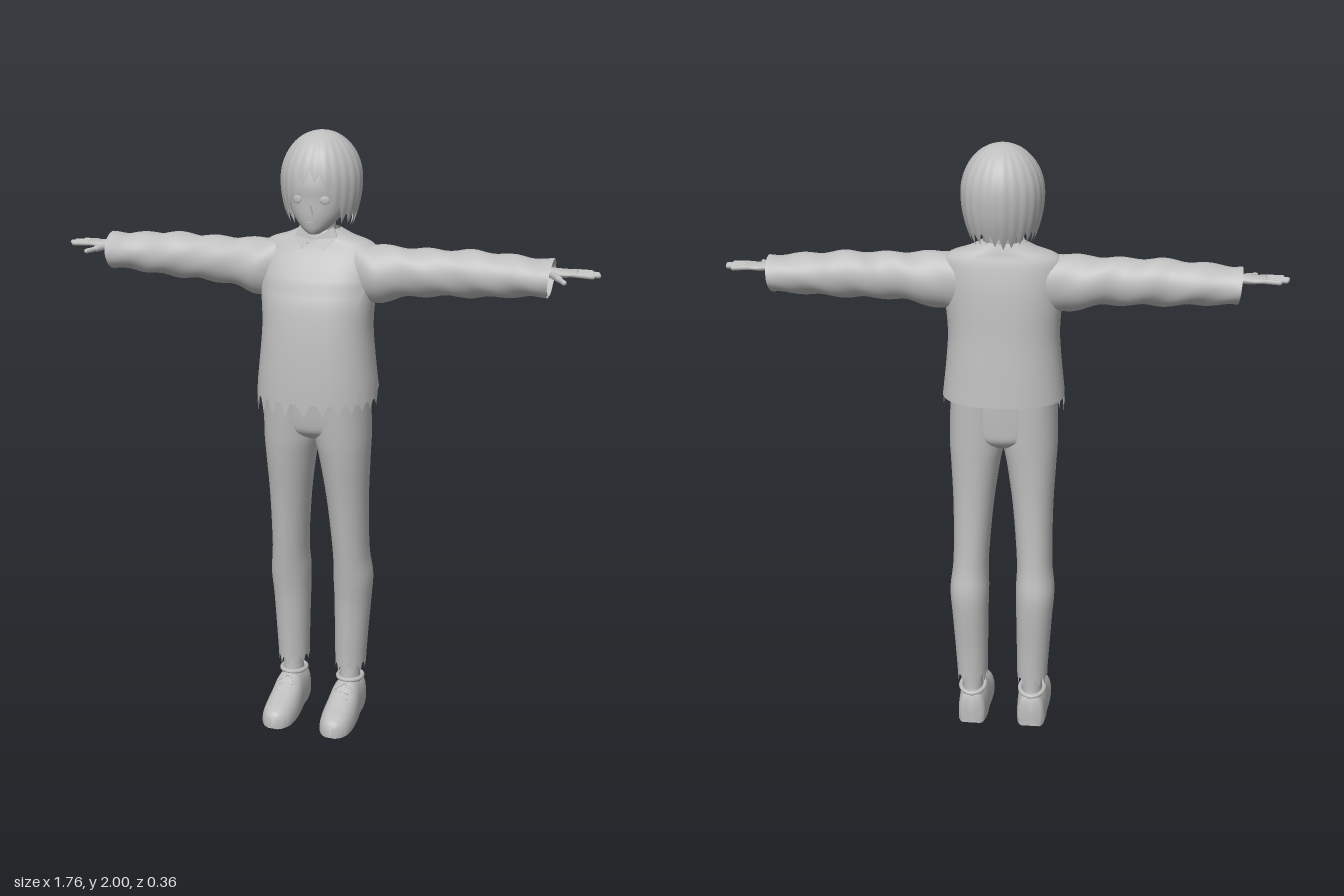
import * as THREE from 'three';
import { toCreasedNormals } from 'three/addons/utils/BufferGeometryUtils.js';

const grey = new THREE.MeshStandardMaterial({ color: 0xbebebe, side: THREE.DoubleSide });
grey.name = 'plain grey';

function part(name, geometry, parent) {
  const mesh = new THREE.Mesh(geometry, grey);
  mesh.name = name;
  parent.add(mesh);
  return mesh;
}

// Closed rings of points joined into a smooth skin
function skin(rings, segs, pointAt) {
  const pos = [], index = [];
  for (let i = 0; i < rings; i++) {
    for (let j = 0; j < segs; j++) {
      pos.push(...pointAt(i, j, (j / segs) * Math.PI * 2));
      if (i === rings - 1) continue;
      const a = i * segs + j, b = i * segs + (j + 1) % segs;
      index.push(a, a + segs, b, b, a + segs, b + segs);
    }
  }
  const g = new THREE.BufferGeometry();
  g.setAttribute('position', new THREE.Float32BufferAttribute(pos, 3));
  g.setIndex(index);
  g.computeVertexNormals();
  return g;
}

function smooth(rows, s) {
  const n = rows.length - 1, k = Math.min(Math.floor(s), n - 1), t = s - k;
  const at = i => rows[Math.min(Math.max(i, 0), n)];
  return rows[0].map((_, c) => {
    const p = at(k - 1)[c], q = at(k)[c], r = at(k + 1)[c], w = at(k + 2)[c];
    return q + 0.5 * t * (r - p + t * (2 * p - 5 * q + 4 * r - w + t * (3 * (q - r) + w - p)));
  });
}

// Place a cross-section point (distance t along the axis, a and b across it)
const axes = {
  x: (t, a, b) => [t, b, a],
  y: (t, a, b) => [a, t, b],
  z: (t, a, b) => [b, a, t],
};

// Rows are [t, aMin, aMax, bMin, bMax]; roundness below 1 squares the section
function loft(axis, rows, { segs = 32, steps = 4, power = 1, caps = false, warp } = {}) {
  const n = (rows.length - 1) * steps + 1, extra = caps ? 1 : 0;
  const round = v => Math.sign(v) * Math.abs(v) ** power;
  return skin(n + extra * 2, segs, (ring, j, th) => {
    const i = Math.min(Math.max(ring - extra, 0), n - 1);
    const [t, a0, a1, b0, b1] = smooth(rows, i / steps);
    const size = ring - extra === i ? 0.5 : 0;
    const p = axes[axis](t,
      (a0 + a1) / 2 + (a1 - a0) * size * round(Math.cos(th)),
      (b0 + b1) / 2 + (b1 - b0) * size * round(Math.sin(th)));
    if (warp) warp(p, i, j, th);
    return p;
  });
}

// Rounded rod between two points
function rod(name, from, to, r, parent) {
  const a = new THREE.Vector3(...from), b = new THREE.Vector3(...to);
  const dir = b.clone().sub(a), len = dir.length();
  const mesh = part(name, new THREE.CapsuleGeometry(r, len - r, 4, 10), parent);
  mesh.position.copy(a).add(b).multiplyScalar(0.5);
  mesh.quaternion.setFromUnitVectors(new THREE.Vector3(0, 1, 0), dir.normalize());
}

function buildHead(parent) {
  const head = new THREE.Group();
  head.name = 'head';
  parent.add(head);
  part('neck', loft('y', [[1.62, -0.055, 0.055, -0.1, 0.02], [1.68, -0.045, 0.045, -0.09, 0.005],
    [1.76, -0.045, 0.045, -0.09, 0.01]]), head);
  part('face', loft('y', [[1.692, -0.018, 0.018, 0.01, 0.06], [1.71, -0.045, 0.045, -0.03, 0.069],
    [1.75, -0.08, 0.08, -0.09, 0.076], [1.8, -0.1, 0.1, -0.13, 0.077], [1.85, -0.108, 0.108, -0.15, 0.078],
    [1.92, -0.095, 0.095, -0.135, 0.055], [1.96, -0.05, 0.05, -0.09, 0.015]], { caps: true }), head);
  const nose = part('nose', new THREE.ConeGeometry(0.011, 0.04, 8), head);
  nose.position.set(0, 1.775, 0.078);
  nose.rotation.x = 0.25;
  const mouth = part('mouth', new THREE.BoxGeometry(0.03, 0.003, 0.006), head);
  mouth.position.set(0, 1.732, 0.071);
  for (const s of [-1, 1]) {
    const ear = part('ear', new THREE.SphereGeometry(0.025, 12, 8), head);
    ear.scale.set(0.4, 1, 0.7);
    ear.position.set(s * 0.1, 1.79, -0.03);
    const eye = part('eye', new THREE.SphereGeometry(0.016, 12, 8), head);
    eye.scale.set(1, 0.8, 0.2);
    eye.position.set(s * 0.045, 1.8, 0.068);
    eye.rotation.y = s * 0.35;
    const brow = part('eyebrow', new THREE.BoxGeometry(0.036, 0.004, 0.006), head);
    brow.position.set(s * 0.045, 1.83, 0.069);
    brow.rotation.set(0, s * 0.35, -s * 0.12);
  }
  // Bowl of combed strands with a parted fringe and pointed tips
  const tips = [[-1, 1.715], [0, 1.725], [0.35, 1.73], [0.62, 1.745], [0.8, 1.79], [0.93, 1.83], [1, 1.865]];
  const rings = 26;
  part('hair', skin(rings, 144, (i, j, th) => {
    const f = Math.sin(th);
    const k = Math.max(1, tips.findIndex(p => p[0] >= f - 1e-6));
    const [p, q] = [tips[k - 1], tips[k]];
    const tooth = Math.abs((j % 6) - 3) / 3;
    const low = THREE.MathUtils.mapLinear(f, p[0], q[0], p[1], q[1]) +
      0.035 * (tooth - 0.4) + 0.008 * Math.sin(5 * th + 1);
    const v = Math.sin((i / (rings - 1)) * Math.PI / 2);
    const y = low + (2 - low) * v;
    const h = y - 1.85;
    let r = h > 0 ? Math.sqrt(Math.max(0, 1 - (h / 0.15) ** 2)) : 1 - 0.2 * (h / 0.13) ** 2;
    r *= 1 + 0.018 * (0.5 - tooth) + 0.008 * Math.sin(7 * th);
    return [0.128 * r * Math.cos(th), y, -0.045 + 0.134 * r * f];
  }), head);
}

function buildTop(parent) {
  // Loose jumper body with a ragged front hem and a chest crease
  part('jumperBody', loft('y', [[1.19, -0.197, 0.197, -0.16, 0.153], [1.3, -0.185, 0.185, -0.15, 0.147],
    [1.4, -0.178, 0.178, -0.14, 0.136], [1.5, -0.185, 0.185, -0.132, 0.115], [1.57, -0.192, 0.192, -0.123, 0.083],
    [1.63, -0.19, 0.19, -0.11, 0.047], [1.66, -0.165, 0.165, -0.1, 0.033], [1.678, -0.11, 0.11, -0.095, 0.028],
    [1.7, -0.062, 0.062, -0.088, 0.022]], {
    segs: 72, power: 0.85, warp(p, i, j, th) {
      const f = Math.sin(th);
      if (i === 0 && f > -0.05) p[1] = j % 3 === 0 ? 1.125 + 0.015 * Math.cos(j * 2) : 1.165;
      if (f > 0.5) p[2] -= 0.006 * Math.exp(-(((p[1] - 1.512) / 0.012) ** 2));
    },
  }), parent);
  // Pointed shirt collar
  const flap = new THREE.Shape([[0.004, 1.675], [0.035, 1.645], [0.07, 1.678], [0.055, 1.71]]
    .map(p => new THREE.Vector2(...p)));
  for (const s of [-1, 1]) {
    const g = new THREE.ExtrudeGeometry(flap, { depth: 0.006, bevelEnabled: false });
    const pos = g.attributes.position;
    for (let i = 0; i < pos.count; i++) {
      const x = pos.getX(i), y = pos.getY(i);
      pos.setZ(i, pos.getZ(i) + 0.045 + (1.68 - y) * 0.55 - x * x * 7);
    }
    g.computeVertexNormals();
    part('collarFlap', g, parent).scale.x = s;
  }
}

function buildArm(parent, s) {
  const arm = new THREE.Group();
  arm.name = s > 0 ? 'leftArm' : 'rightArm';
  arm.scale.x = s;
  parent.add(arm);
  part('sleeve', loft('x', [[0.13, -0.095, 0.05, 1.47, 1.663], [0.2, -0.103, 0.062, 1.475, 1.655],
    [0.28, -0.098, 0.05, 1.495, 1.652], [0.38, -0.1, 0.038, 1.505, 1.65], [0.5, -0.11, 0.032, 1.508, 1.652],
    [0.62, -0.12, 0.03, 1.517, 1.643], [0.73, -0.127, 0.024, 1.522, 1.637]], {
    steps: 6, warp(p, i, j, th) {
      p[1] += 0.004 * Math.sin(p[0] * 48 + th * 2) * Math.sin(th);
      p[2] += 0.004 * Math.sin(p[0] * 40 + th) * Math.cos(th);
      if (p[0] > 0.7) p[0] += (p[1] - 1.58) * 0.1 * (p[0] - 0.7) / 0.03;
    },
  }), arm);
  part('cuffLining', loft('x', [[0.6, -0.09, -0.005, 1.55, 1.62], [0.68, -0.112, 0.01, 1.535, 1.627],
    [0.727, -0.124, 0.021, 1.525, 1.634]]), arm);
  part('palm', loft('x', [[0.6, -0.075, -0.02, 1.575, 1.62], [0.72, -0.07, -0.02, 1.583, 1.615],
    [0.77, -0.083, -0.01, 1.587, 1.611], [0.81, -0.082, -0.013, 1.591, 1.61]], { segs: 20, caps: true }), arm);
  // Four fingers and a thumb
  [0.862, 0.877, 0.872, 0.85].forEach((tip, i) => {
    const z = -0.02 - i * 0.018;
    rod('finger', [0.79, 1.601, z], [tip, 1.599, z + 0.005 - i * 0.004], 0.0075, arm);
  });
  rod('thumbBase', [0.735, 1.597, -0.025], [0.765, 1.592, 0.018], 0.011, arm);
  rod('thumb', [0.76, 1.592, 0.01], [0.784, 1.589, 0.05], 0.008, arm);
}

function buildLeg(parent, s) {
  const leg = new THREE.Group();
  leg.name = s > 0 ? 'leftLeg' : 'rightLeg';
  leg.scale.x = s;
  parent.add(leg);
  // Trouser leg with a pressed crease and a ragged hem
  part('trouserLeg', loft('y', [[0.19, 0.052, 0.155, -0.12, 0.01], [0.3, 0.05, 0.162, -0.125, 0.014],
    [0.42, 0.048, 0.17, -0.136, 0.02], [0.51, 0.046, 0.176, -0.138, 0.031], [0.61, 0.048, 0.166, -0.121, 0.045],
    [0.8, 0.033, 0.166, -0.11, 0.07], [0.95, 0.012, 0.173, -0.11, 0.094], [1.04, -0.004, 0.177, -0.112, 0.106],
    [1.22, -0.01, 0.172, -0.115, 0.122]], {
    segs: 36, power: 0.9, warp(p, i, j, th) {
      p[2] += 0.004 * Math.max(0, Math.sin(th)) ** 24;
      if (i === 0) p[1] = j % 3 === 0 ? 0.16 : 0.187;
    },
  }), leg);
  part('ankle', loft('y', [[0.07, 0.065, 0.142, -0.095, 0.005], [0.13, 0.068, 0.138, -0.09, -0.005],
    [0.24, 0.068, 0.138, -0.09, -0.01]], { segs: 20 }), leg);
  // Shoe with a flat sole, low toe and raised opening
  const shoe = loft('z', [[-0.113, -0.03, 0.105, 0.07, 0.135], [-0.1, -0.05, 0.122, 0.057, 0.148],
    [-0.05, -0.06, 0.124, 0.051, 0.153], [0, -0.06, 0.13, 0.05, 0.155], [0.05, -0.06, 0.104, 0.046, 0.159],
    [0.1, -0.06, 0.084, 0.045, 0.16], [0.145, -0.05, 0.07, 0.052, 0.154], [0.172, -0.04, 0.058, 0.068, 0.138],
    [0.184, -0.03, 0.042, 0.085, 0.12]], {
    segs: 28, power: 0.8, caps: true, warp(p) { p[1] = Math.max(0.004, p[1]); },
  });
  part('shoe', toCreasedNormals(shoe, 0.7), leg);
  const collar = part('shoeCollar', new THREE.TorusGeometry(0.044, 0.008, 8, 24), leg);
  collar.scale.set(0.95, 1.2, 1);
  collar.rotation.x = Math.PI / 2 - 0.12;
  collar.position.set(0.103, 0.124, -0.052);
  // Crossed laces with loose ends
  for (let i = 0; i < 3; i++) {
    const z = 0.02 + i * 0.022, y = 0.121 - i * 0.011;
    rod('lace', [0.08, y - 0.006, z], [0.125, y - 0.006, z + 0.006], 0.004, leg);
  }
  for (const d of [-1, 1]) rod('laceEnd', [0.103, 0.126, 0.018], [0.103 + d * 0.035, 0.106, 0.035], 0.003, leg);
}

export function createModel() {
  const figure = new THREE.Group();
  figure.name = 'standingFigure';
  buildHead(figure);
  buildTop(figure);
  part('hips', loft('y', [[1.02, -0.05, 0.05, -0.07, 0.05], [1.05, -0.12, 0.12, -0.107, 0.096],
    [1.1, -0.168, 0.168, -0.113, 0.11], [1.23, -0.172, 0.172, -0.115, 0.122]], { caps: true, power: 0.85 }), figure);
  for (const s of [1, -1]) {
    buildArm(figure, s);
    buildLeg(figure, s);
  }
  return figure;
}
